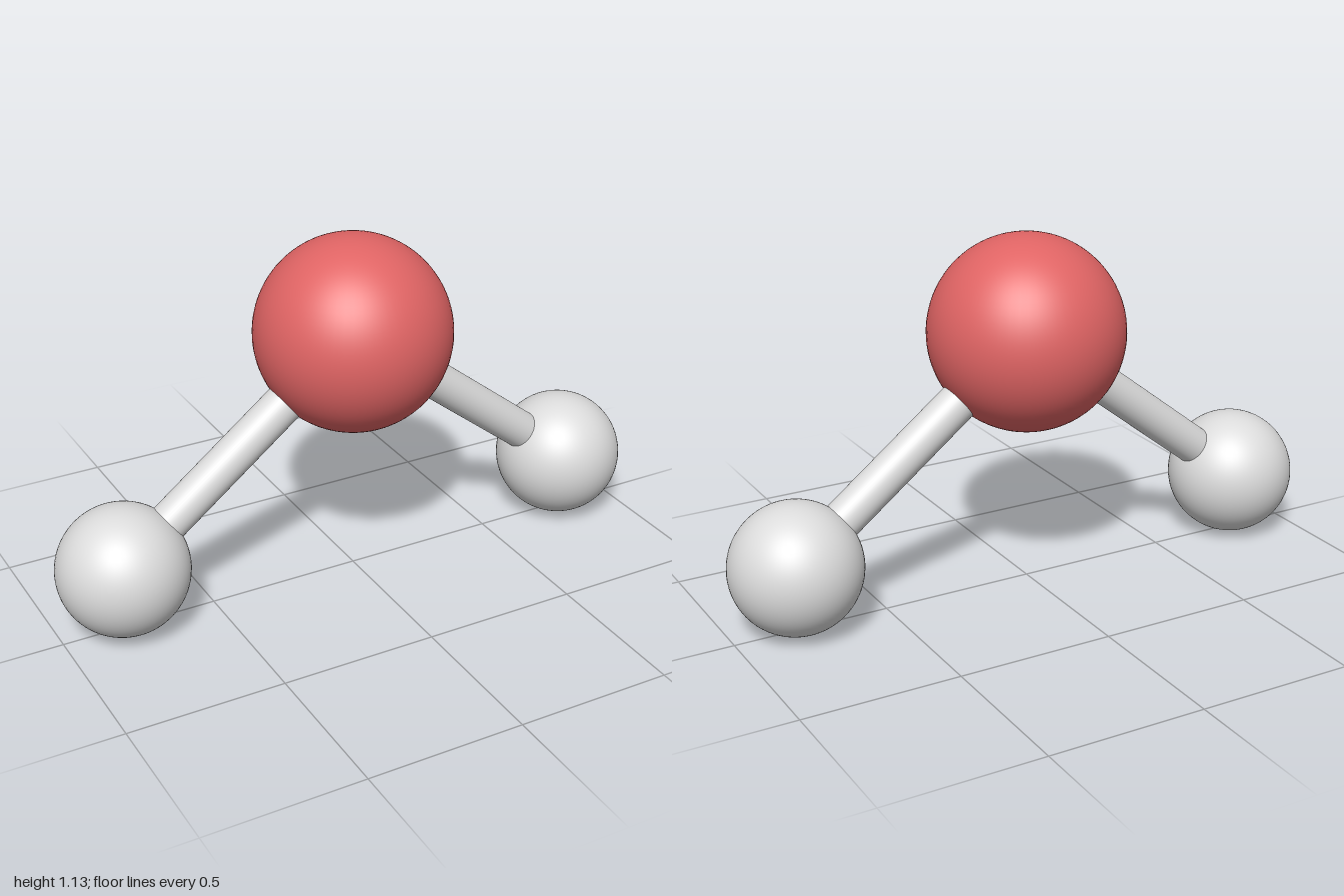
import * as THREE from 'three';

const red = new THREE.MeshStandardMaterial({ name: 'soft red', color: 0xe06464 });
const grey = new THREE.MeshStandardMaterial({ name: 'light grey', color: 0xdcdcdc });

function ball(name, radius, position, material) {
  const mesh = new THREE.Mesh(new THREE.SphereGeometry(radius, 64, 48), material);
  mesh.name = name;
  mesh.position.copy(position);
  return mesh;
}

// Cylinder running between two points
function rod(name, radius, from, to, material) {
  const along = to.clone().sub(from);
  const mesh = new THREE.Mesh(new THREE.CylinderGeometry(radius, radius, along.length(), 48), material);
  mesh.name = name;
  mesh.position.copy(from).addScaledVector(along, 0.5);
  mesh.quaternion.setFromUnitVectors(new THREE.Vector3(0, 1, 0), along.normalize());
  return mesh;
}

export function createModel() {
  const model = new THREE.Group();
  model.name = 'bentMolecule';

  // Large central atom
  const centre = new THREE.Vector3(0, 0.823, 0);
  model.add(ball('centralAtom', 0.31, centre, red));

  // Two small atoms, each joined to the centre by a bond
  for (const [side, sign] of [['left', 1], ['right', -1]]) {
    const end = new THREE.Vector3(sign * 0.793, 0.207, 0);
    model.add(ball(side + 'Atom', 0.207, end, grey));
    model.add(rod(side + 'Bond', 0.062, centre, end, grey));
  }
  return model;
}
